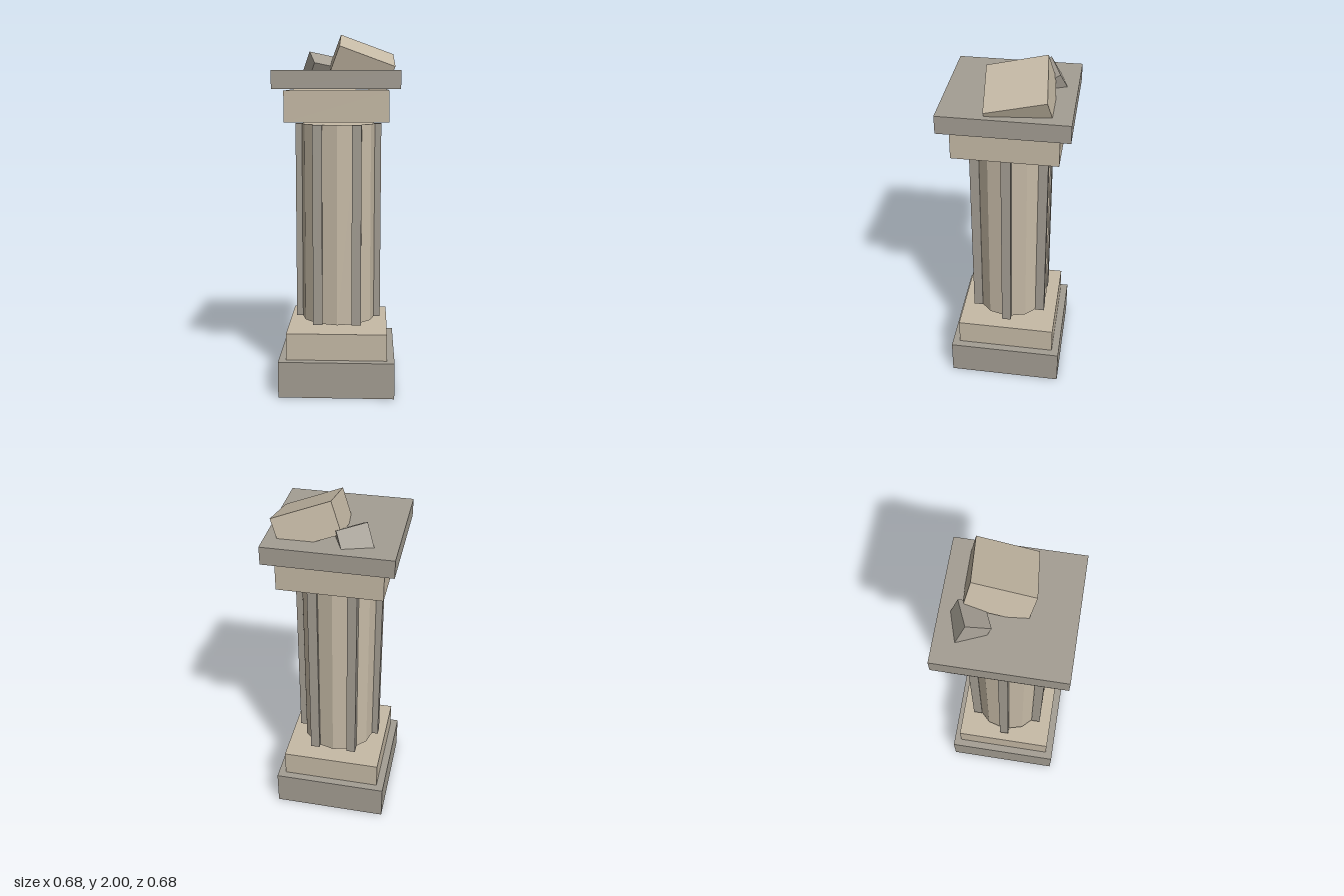
import * as THREE from 'three';

const stone = new THREE.MeshStandardMaterial({ color: 0xc6baa6, flatShading: true });
const greyStone = new THREE.MeshStandardMaterial({ color: 0xa49e93, flatShading: true });

// Square block centred on the column axis, between two heights
function slab(name, half, y0, y1, material) {
  const mesh = new THREE.Mesh(new THREE.BoxGeometry(half * 2, y1 - y0, half * 2), material);
  mesh.position.y = (y0 + y1) / 2;
  mesh.name = name;
  return mesh;
}

// Tilted block hung from its top back-left corner, with two top edges given
function rubble(name, corner, edgeX, edgeZ, height, material) {
  const x = new THREE.Vector3(...edgeX);
  const z = new THREE.Vector3(...edgeZ);
  const width = x.length(), depth = z.length();
  x.normalize();
  const y = z.clone().cross(x).normalize();
  z.crossVectors(x, y);
  const mesh = new THREE.Mesh(new THREE.BoxGeometry(width, height, depth), material);
  mesh.quaternion.setFromRotationMatrix(new THREE.Matrix4().makeBasis(x, y, z));
  mesh.position.set(...corner)
    .addScaledVector(x, width / 2)
    .addScaledVector(z, depth / 2)
    .addScaledVector(y, -height / 2);
  mesh.name = name;
  return mesh;
}

export function createModel() {
  const column = new THREE.Group();
  column.name = 'ruinedColumn';

  // Stepped base and capital
  column.add(
    slab('plinth', 0.322, 0, 0.204, greyStone),
    slab('baseBlock', 0.28, 0.204, 0.355, stone),
    slab('capitalBlock', 0.28, 1.522, 1.688, stone),
    slab('topSlab', 0.338, 1.697, 1.795, greyStone),
  );

  // Twelve-sided shaft with six square ribs, all aligned to the axes
  const bottom = 0.386, top = 1.503;
  const shaft = new THREE.Group();
  shaft.name = 'shaft';
  const core = new THREE.Mesh(new THREE.CylinderGeometry(0.212, 0.212, top - bottom, 12), stone);
  core.name = 'shaftCore';
  core.position.y = (bottom + top) / 2;
  shaft.add(core);
  for (let i = 0; i < 6; i++) {
    const a = (i * Math.PI) / 3;
    const rib = slab('rib', 0.026, bottom, top, greyStone);
    rib.position.x = Math.cos(a) * 0.215;
    rib.position.z = Math.sin(a) * 0.215;
    shaft.add(rib);
  }
  column.add(shaft);

  // Broken blocks sunk into the top slab
  column.add(
    rubble('largeRubble', [0.007, 2.0, -0.185], [0.303, -0.11, -0.03], [0.005, -0.075, 0.315], 0.17, stone),
    rubble('smallRubble', [-0.175, 1.905, -0.183], [0.145, -0.03, -0.062], [0.035, -0.065, 0.118], 0.138, greyStone),
  );
  return column;
}
